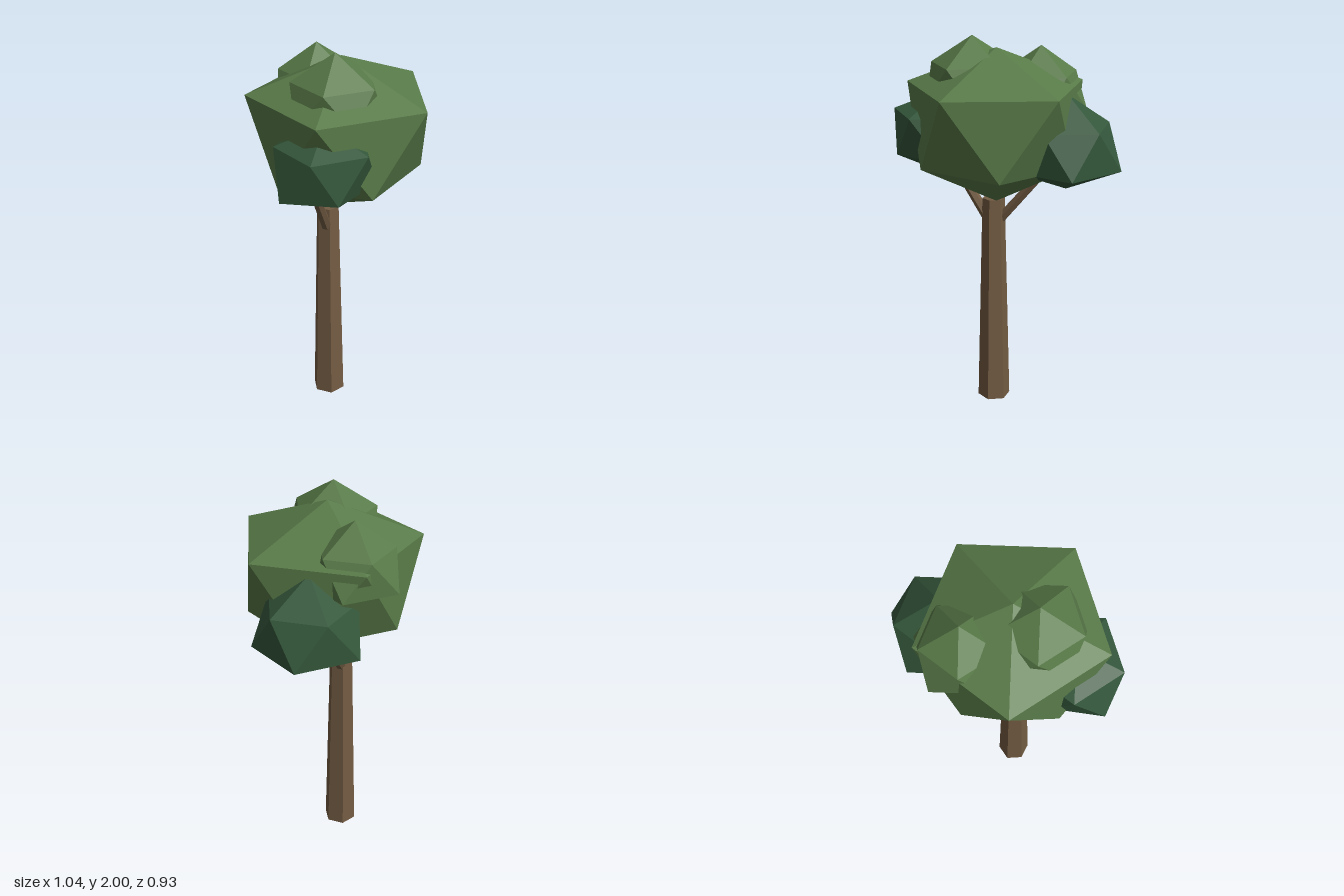
import * as THREE from 'three';

const flat = (name, color) => {
  const m = new THREE.MeshStandardMaterial({ color });
  m.name = name;
  return m;
};

// Leaf clump: top point, two staggered rings of five points, bottom point.
// c = [x, z] centre; top / bottom = heights; upper / lower = [y, radiusX, radiusZ]
function clumpGeometry({ c, top, upper, lower, bottom }) {
  const ring = ([y, rx, rz = rx], turn) => Array.from({ length: 5 }, (_, i) => {
    const a = (i + turn) * Math.PI * 2 / 5;
    return [c[0] + rx * Math.cos(a), y, c[1] + rz * Math.sin(a)];
  });
  const up = ring(upper, 0), low = ring(lower, 0.5);
  const tip = [c[0], top, c[1]], base = [c[0], bottom, c[1]];
  const pos = [];
  for (let i = 0; i < 5; i++) {
    const j = (i + 1) % 5;
    pos.push(...tip, ...up[j], ...up[i]);
    pos.push(...up[i], ...up[j], ...low[i]);
    pos.push(...up[j], ...low[j], ...low[i]);
    pos.push(...low[i], ...low[j], ...base);
  }
  const g = new THREE.BufferGeometry();
  g.setAttribute('position', new THREE.Float32BufferAttribute(pos, 3));
  g.computeVertexNormals();
  return g;
}

// Tapered six-sided limb between two points
function limbGeometry(from, to, r0, r1) {
  const a = new THREE.Vector3(...from), b = new THREE.Vector3(...to);
  const dir = b.clone().sub(a);
  const g = new THREE.CylinderGeometry(r1, r0, dir.length(), 6);
  g.rotateY(Math.PI / 6);
  g.applyQuaternion(new THREE.Quaternion().setFromUnitVectors(
    new THREE.Vector3(0, 1, 0), dir.normalize()));
  a.add(b).multiplyScalar(0.5);
  g.translate(a.x, a.y, a.z);
  const f = g.toNonIndexed();
  f.computeVertexNormals();
  return f;
}

export function createModel() {
  const tree = new THREE.Group();
  tree.name = 'tree';
  const bark = flat('bark brown', 0x735c43);
  const leaf = flat('leaf green', 0x587a48);
  const darkLeaf = flat('dark leaf green', 0x34573b);

  const add = (name, geometry, material) => {
    const mesh = new THREE.Mesh(geometry, material);
    mesh.name = name;
    tree.add(mesh);
  };

  // Trunk and branches
  add('trunk', limbGeometry([-0.065, 0, -0.015], [-0.065, 1.15, -0.015], 0.087, 0.059), bark);
  add('leftBranch', limbGeometry([-0.045, 1.03, -0.04], [0.22, 1.40, -0.2], 0.027, 0.023), bark);
  add('rightBranch', limbGeometry([-0.095, 1.05, 0.01], [-0.27, 1.37, 0.12], 0.027, 0.023), bark);

  // Foliage
  add('mainCrown', clumpGeometry({
    c: [0, 0.017], top: 1.945, upper: [1.755, 0.47], lower: [1.36, 0.4], bottom: 1.155,
  }), leaf);
  add('frontTopClump', clumpGeometry({
    c: [-0.1, 0.09], top: 2, upper: [1.86, 0.215], lower: [1.69, 0.24], bottom: 1.6,
  }), leaf);
  add('backTopClump', clumpGeometry({
    c: [0.045, -0.235], top: 1.937, upper: [1.8, 0.195], lower: [1.625, 0.241], bottom: 1.53,
  }), leaf);
  add('leftClump', clumpGeometry({
    c: [0.29, -0.2], top: 1.73, upper: [1.575, 0.23], lower: [1.36, 0.278], bottom: 1.25,
  }), darkLeaf);
  add('rightClump', clumpGeometry({
    c: [-0.25, 0.195], top: 1.71, upper: [1.61, 0.24], lower: [1.395, 0.27, 0.215], bottom: 1.29,
  }), darkLeaf);

  return tree;
}
